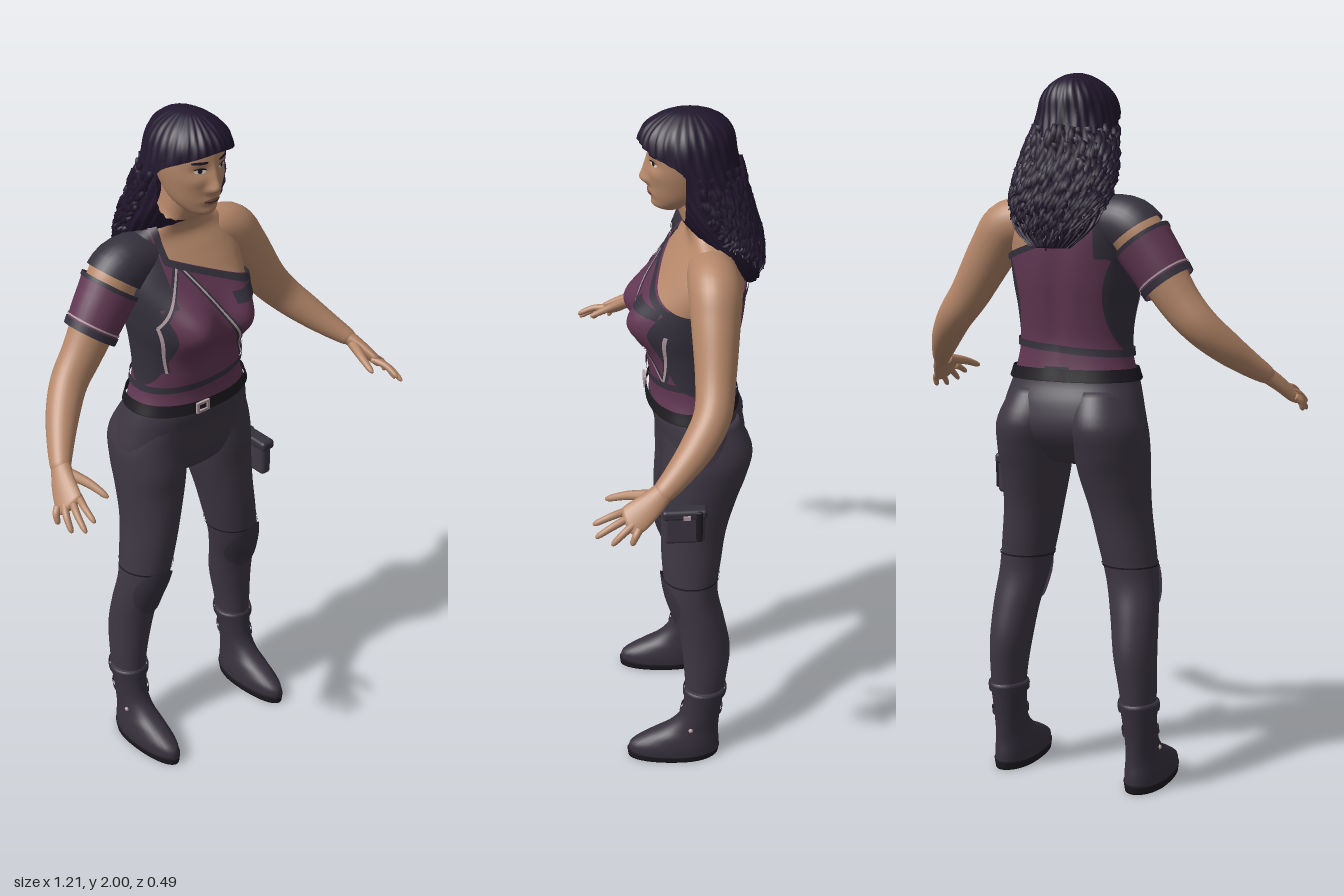
import * as THREE from 'three';
import { RoundedBoxGeometry } from 'three/addons/geometries/RoundedBoxGeometry.js';

const mat = (name, color, side = THREE.DoubleSide) => {
  const m = new THREE.MeshStandardMaterial({ color, side });
  m.name = name;
  return m;
};
const M = {
  skin: mat('skin', 0xb58769, THREE.FrontSide), hair: mat('dark violet hair', 0x21172d),
  plum: mat('plum cloth', 0x613753), panel: mat('slate panel', 0x35313d),
  pants: mat('charcoal trousers', 0x3e3743), boots: mat('boot leather', 0x37313d),
  sole: mat('near black', 0x1d1a20), light: mat('pale piping', 0xb39da3),
  white: mat('eye white', 0xd8d0cc), lips: mat('lips', 0x8d5a4c),
};

// Catmull-Rom through rows of numbers, t in 0..1
function spline(rows, t) {
  const f = t * (rows.length - 1), i = Math.min(Math.floor(f), rows.length - 2), u = f - i;
  const at = k => rows[Math.max(0, Math.min(rows.length - 1, k))];
  const [a, b, c, d] = [at(i - 1), at(i), at(i + 1), at(i + 2)];
  return b.map((v, k) => v + 0.5 * u * (c[k] - a[k] + u * (2 * a[k] - 5 * v + 4 * c[k] - d[k]
    + u * (3 * (v - c[k]) + d[k] - a[k]))));
}

// Closed tube of n sides and m steps from a point rule, capped; sx = -1 mirrors it
function surface(fn, n, m, sx = 1) {
  const pos = [], idx = [];
  const tri = (a, b, c) => (sx > 0 ? idx.push(a, b, c) : idx.push(a, c, b));
  const ends = [new THREE.Vector3(), new THREE.Vector3()];
  for (let j = 0; j <= m; j++) for (let i = 0; i < n; i++) {
    const p = fn((i / n) * Math.PI * 2, j / m);
    p.x *= sx;
    pos.push(p.x, p.y, p.z);
    if (j === 0) ends[0].addScaledVector(p, 1 / n);
    if (j === m) ends[1].addScaledVector(p, 1 / n);
    if (j < m) {
      const a = j * n + i, b = j * n + (i + 1) % n;
      tri(a, b, a + n); tri(b, b + n, a + n);
    }
  }
  const c0 = (m + 1) * n, c1 = c0 + 1;
  ends.forEach(e => pos.push(e.x, e.y, e.z));
  for (let i = 0; i < n; i++) {
    const k = (i + 1) % n;
    tri(c0, k, i); tri(c1, m * n + i, m * n + k);
  }
  const g = new THREE.BufferGeometry();
  g.setAttribute('position', new THREE.Float32BufferAttribute(pos, 3));
  g.setIndex(idx);
  g.computeVertexNormals();
  return g;
}

// Level rings, rows upward: [y, centre x, centre z, half width, front depth, back depth]
function loft(rows, { n = 48, m = 48, e = 2, k = 0, sx = 1, bump } = {}) {
  const pw = v => Math.sign(v) * Math.abs(v) ** (2 / e);
  return surface((th, t) => {
    const [y, cx, cz, rx, rf, rb] = spline(rows, t), a = th - k * Math.sin(th);
    const s = pw(Math.sin(a)), c = pw(Math.cos(a));
    const p = new THREE.Vector3(cx + rx * s, y, cz + (c > 0 ? rf : rb) * c);
    if (bump) bump(p, a);
    return p;
  }, n, m, sx);
}

// Tapered limb along stations [x, y, z, radius across, radius of thickness]
function limb(st, { n = 10, m = 12, sx = 1 } = {}) {
  const ref = new THREE.Vector3(1, 1, 0).normalize();
  return surface((th, t) => {
    const s = spline(st, t), a = spline(st, Math.max(0, t - 0.02)), b = spline(st, Math.min(1, t + 0.02));
    const T = new THREE.Vector3(b[0] - a[0], b[1] - a[1], b[2] - a[2]).normalize();
    const e1 = new THREE.Vector3().crossVectors(ref, T).normalize(), e2 = T.clone().cross(e1);
    const end = Math.sqrt(Math.min(1, 0.2 + (1 - t) * 6));
    return new THREE.Vector3(s[0], s[1], s[2]).addScaledVector(e1, Math.cos(th) * s[3] * end)
      .addScaledVector(e2, Math.sin(th) * (s[4] ?? s[3]) * end);
  }, n, m, sx);
}

// Offset copy of a surface, cut to where every rule f(x, y, z) is positive
function shell(geo, off, ...rules) {
  const P = geo.attributes.position, N = geo.attributes.normal, I = geo.index.array, pos = [], nor = [];
  const vert = i => {
    const n = [N.getX(i), N.getY(i), N.getZ(i)];
    return [P.getX(i) + n[0] * off, P.getY(i) + n[1] * off, P.getZ(i) + n[2] * off, ...n];
  };
  for (let i = 0; i < I.length; i += 3) {
    let poly = [vert(I[i]), vert(I[i + 1]), vert(I[i + 2])];
    for (const f of rules) {
      const out = [], d = poly.map(v => f(v[0], v[1], v[2]));
      poly.forEach((v, k) => {
        const q = (k + 1) % poly.length;
        if (d[k] >= 0) out.push(v);
        if ((d[k] >= 0) !== (d[q] >= 0)) out.push(v.map((c, h) => c + (poly[q][h] - c) * d[k] / (d[k] - d[q])));
      });
      poly = out;
      if (!poly.length) break;
    }
    for (let k = 1; k + 1 < poly.length; k++) for (const v of [poly[0], poly[k], poly[k + 1]]) {
      pos.push(v[0], v[1], v[2]); nor.push(v[3], v[4], v[5]);
    }
  }
  const g = new THREE.BufferGeometry();
  g.setAttribute('position', new THREE.Float32BufferAttribute(pos, 3));
  g.setAttribute('normal', new THREE.Float32BufferAttribute(nor, 3));
  return g;
}
const gauss = (x, y, sx, sy) => Math.exp(-(x * x) / (2 * sx * sx) - (y * y) / (2 * sy * sy));
const oval = (cx, cy, rx, ry) => (x, y) => 1 - ((Math.abs(x) - cx) / rx) ** 2 - ((y - cy) / ry) ** 2;
const front = (x, y, z) => z;
const band = (lo, hi) => [(x, y) => y - lo, (x, y) => hi - y];

export function createModel() {
  const root = new THREE.Group();
  root.name = 'standingWoman';
  const add = (name, geo, material, x = 0, y = 0, z = 0) => {
    const mesh = new THREE.Mesh(geo, material);
    mesh.name = name;
    mesh.position.set(x, y, z);
    root.add(mesh);
  };

  // Torso and neck
  const torso = loft([
    [1.16, 0, -.055, .182, .115, .115], [1.22, 0, -.055, .162, .11, .108], [1.28, 0, -.05, .156, .112, .112],
    [1.36, 0, -.05, .162, .116, .124], [1.43, 0, -.05, .174, .12, .135], [1.5, 0, -.055, .182, .115, .136],
    [1.56, 0, -.07, .184, .098, .122], [1.61, 0, -.085, .175, .078, .103], [1.65, 0, -.095, .155, .06, .083],
    [1.68, 0, -.09, .105, .055, .07], [1.71, 0, -.075, .066, .055, .062], [1.76, 0, -.06, .057, .055, .057],
    [1.8, 0, -.06, .056, .054, .056]], { n: 96, m: 88, e: 2.2, bump: (p, a) => {
    if (Math.cos(a) > 0) p.z += Math.min(1, Math.cos(a) * 3) * .06 *
      (gauss(p.x - .08, p.y - 1.43, .045, .048) + gauss(p.x + .08, p.y - 1.43, .045, .048));
    else p.z += .012 * gauss(p.x, p.y - 1.38, .02, .12);
  } });
  add('torso', torso, M.skin);

  // One-shoulder top with slate side panels
  const neck = (x, y, z) => Math.max((z > -.06 ? 1.575 - .42 * x : 1.56 - .3 * x) - y, -.095 - x);
  const dark = (x, y) => Math.max(Math.abs(x) - .128 - 2 * (y - 1.38) ** 2, Math.min(-.115 - x, y - 1.5));
  const lower = (x, y) => y - 1.19;
  add('topPlum', shell(torso, .007, neck, lower, (x, y) => -dark(x, y)), M.plum);
  add('topPanels', shell(torso, .007, neck, lower, dark), M.panel);
  add('necklineTrim', shell(torso, .012, neck, (x, y, z) => .018 - neck(x, y, z)), M.panel);
  const hem = (x, y) => y - 1.255 - .08 * x;
  add('hemTrim', shell(torso, .013, (x, y) => hem(x, y) + .01, (x, y) => .01 - hem(x, y)), M.panel);
  add('belt', shell(torso, .016, ...band(1.165, 1.2)), M.sole);
  add('chestPocketFlap', shell(torso, .012, front, (x, y) => y - 1.475 + .1 * (x - .1), (x, y) => 1.503 - y - .1 * (x - .1),
    x => x - .05, x => .15 - x), M.panel);
  const seams = [[-.075, 1.6, .127, 1.27], [-.08, 1.6, -.165, 1.45], [.127, 1.27, .165, 1.43],
    [-.165, 1.45, -.135, 1.3]];
  seams.forEach(([ax, ay, bx, by]) => {
    const L = Math.hypot(bx - ax, by - ay), ux = (bx - ax) / L, uy = (by - ay) / L;
    const d = (x, y) => (x - ax) * uy - (y - ay) * ux, s = (x, y) => (x - ax) * ux + (y - ay) * uy;
    const strip = (w, off) => shell(torso, off, (x, y, z) => z + .05, s, (x, y) => L - s(x, y),
      (x, y) => w + d(x, y), (x, y) => w - d(x, y));
    add('seamBacking', strip(.008, .009), M.panel);
    add('seamPiping', strip(.0028, .011), M.light);
  });
  const buckle = new THREE.Shape().moveTo(-.022, -.016).lineTo(.022, -.016).lineTo(.022, .016).lineTo(-.022, .016);
  buckle.holes.push(new THREE.Path().moveTo(-.014, -.009).lineTo(-.014, .009).lineTo(.014, .009).lineTo(.014, -.009));
  add('beltBuckle', new THREE.ExtrudeGeometry(buckle, { depth: .008, bevelEnabled: false }), M.light, -.045, 1.183, .07);

  // Arms and hands
  const along = (x, y) => (Math.abs(x) - .2) * .59 + (1.58 - y) * .81;
  for (const sx of [1, -1]) {
    const arm = limb([[.08, 1.6, -.09, .06, .06], [.185, 1.585, -.095, .07, .074], [.245, 1.515, -.092, .064, .07],
      [.325, 1.395, -.085, .053, .059], [.385, 1.325, -.072, .049, .052], [.44, 1.268, -.03, .045, .045],
      [.49, 1.218, .025, .036, .034], [.522, 1.188, .066, .029, .025], [.53, 1.178, .08, .029, .022]],
    { n: 32, m: 48, sx });
    add('arm', arm, M.skin);
    add('palm', limb([[.516, 1.194, .058, .026, .023], [.54, 1.165, .1, .035, .018], [.556, 1.138, .14, .041, .015],
      [.562, 1.128, .165, .036, .012]], { n: 20, m: 16, sx }), M.skin);
    const fingers = [[.534, 1.148, .155, .55, 1.12, .245], [.55, 1.139, .15, .575, 1.097, .24],
      [.567, 1.13, .14, .59, 1.082, .2], [.582, 1.122, .13, .597, 1.085, .15]];
    fingers.forEach(([a, b, c, x, y, z]) => add('finger', limb([[a, b, c, .0105],
      [(a + x) / 2 + .005, (b + y) / 2 + .006, (c + z) / 2, .0095], [x, y, z, .007]], { sx }), M.skin));
    add('thumb', limb([[.518, 1.178, .09, .016], [.495, 1.167, .15, .012], [.48, 1.148, .21, .008]], { sx }), M.skin);
    if (sx > 0) continue;
    // Shoulder strap and short sleeve on the right arm only
    add('shoulderStrap', shell(arm, .009, (x, y) => .012 - along(x, y), x => -.1 - x), M.panel);
    const cut = (lo, hi) => [(x, y) => along(x, y) - lo, (x, y) => hi - along(x, y)];
    add('sleeve', shell(arm, .011, ...cut(.037, .175)), M.plum);
    add('sleeveTopTrim', shell(arm, .014, ...cut(.034, .046)), M.panel);
    add('sleeveCuff', shell(arm, .015, ...cut(.158, .178)), M.panel);
    add('sleevePiping', shell(arm, .014, ...cut(.148, .153)), M.light);
  }

  // Trousers, kneepads and boots
  add('pelvis', loft([[.922, 0, -.06, .02, .02, .02], [.935, 0, -.06, .09, .06, .07], [.97, 0, -.065, .195, .095, .1],
    [1.03, 0, -.072, .22, .116, .13], [1.1, 0, -.065, .207, .118, .132], [1.16, 0, -.055, .189, .12, .121],
    [1.205, 0, -.055, .173, .115, .116]], { m: 28, e: 2.2 }), M.pants);
  for (const sx of [1, -1]) {
    const leg = loft([[.2, .212, -.075, .044, .05, .055], [.3, .209, -.08, .052, .06, .064],
      [.4, .2, -.078, .06, .066, .076], [.5, .19, -.063, .067, .066, .074], [.6, .174, -.045, .074, .078, .072],
      [.7, .156, -.045, .08, .088, .083], [.8, .139, -.05, .086, .094, .094], [.9, .126, -.06, .099, .1, .114],
      [.97, .122, -.068, .104, .11, .13], [1.05, .112, -.075, .107, .11, .139], [1.14, .095, -.062, .085, .1, .112]],
    { m: 44, sx });
    add('trouserLeg', leg, M.pants);
    add('kneePad', shell(leg, .008, oval(.178, .575, .068, .085), (x, y, z) => z + .04), M.boots);
    add('kneeSeam', shell(leg, .003, ...band(.645, .65)), M.sole);
    const boot = loft([[.02, .213, -.02, .054, .17, .105], [.05, .213, -.02, .054, .165, .105],
      [.08, .213, -.03, .05, .125, .092], [.11, .213, -.045, .045, .08, .078], [.15, .213, -.06, .044, .056, .066],
      [.2, .212, -.072, .047, .055, .06], [.265, .211, -.078, .054, .056, .064]], { n: 32, m: 28, sx });
    add('boot', boot, M.boots);
    add('bootCuff', shell(boot, .006, ...band(.238, .264)), M.boots);
    add('ankleBand', shell(boot, .005, ...band(.165, .185)), M.boots);
    add('bootSole', loft([[0, .213, -.02, .053, .172, .102], [.026, .213, -.02, .057, .175, .107]], { m: 3, sx }), M.sole);
    add('bootStud', new THREE.SphereGeometry(.007, 10, 8), M.light, sx * .256, .12, -.035);
  }

  // Cargo pocket on the left thigh
  add('cargoPocket', new RoundedBoxGeometry(.036, .105, .115, 3, .012), M.pants, .232, .87, -.015);
  add('pocketFlap', new RoundedBoxGeometry(.046, .03, .125, 3, .01), M.panel, .234, .917, -.015);
  add('pocketStrap', new RoundedBoxGeometry(.05, .1, .018, 2, .006), M.sole, .236, .88, -.055);
  add('pocketClasp', new THREE.BoxGeometry(.008, .012, .02), M.light, .258, .913, -.02);

  // Head with modelled face
  const head = loft([[1.729, 0, .005, .02, .025, .03], [1.742, 0, 0, .04, .047, .05], [1.77, 0, -.02, .061, .074, .07],
    [1.81, 0, -.03, .074, .09, .095], [1.86, 0, -.035, .083, .098, .11], [1.91, 0, -.035, .082, .094, .113],
    [1.95, 0, -.038, .066, .076, .098], [1.98, 0, -.04, .03, .035, .045]], { n: 96, m: 84, e: 2.1, k: .5, bump: (p, a) => {
    if (Math.cos(a) <= 0) return;
    const x = Math.abs(p.x), y = p.y;
    p.z += .02 * gauss(x, y - 1.817, .011, .014) + .011 * gauss(x, y - 1.848, .009, .02)
      + .007 * gauss(x - .014, y - 1.812, .007, .007) - .007 * gauss(x - .035, y - 1.864, .016, .011)
      + .007 * gauss(x, y - 1.778, .02, .009) + .006 * gauss(x, y - 1.745, .02, .01)
      + .004 * gauss(x - .048, y - 1.835, .018, .014);
  } });
  add('head', head, M.skin);
  add('eyes', shell(head, .0015, front, oval(.036, 1.865, .015, .0065)), M.white);
  add('irises', shell(head, .0025, front, oval(.036, 1.865, .006, .006)), M.sole);
  add('upperLashes', shell(head, .003, front, oval(.036, 1.866, .018, .009), (x, y) => y - 1.8695), M.sole);
  add('eyebrows', shell(head, .002, front, oval(.038, 1.888, .022, .0045)), M.hair);
  add('lips', shell(head, .0015, front, oval(0, 1.778, .026, .009)), M.lips);
  add('mouthLine', shell(head, .0025, front, x => .024 - Math.abs(x), ...band(1.777, 1.779)), M.sole);

  // Hair mass, open around the face
  const hairRows = [[1.53, 0, -.2, .06, .015, .03], [1.58, 0, -.185, .115, .05, .05], [1.64, 0, -.155, .14, .075, .075],
    [1.7, 0, -.125, .145, .1, .088], [1.76, 0, -.09, .137, .11, .105], [1.82, 0, -.065, .124, .12, .115],
    [1.88, 0, -.045, .113, .13, .122], [1.93, 0, -.04, .1, .125, .12], [1.965, 0, -.04, .075, .1, .1],
    [1.99, 0, -.04, .038, .055, .06], [1.999, 0, -.04, .01, .015, .015]];
  const hair = loft(hairRows, { n: 120, m: 50, bump: (p, a) => {
    const w = 1 + .018 * Math.sin(a * 30 + p.y * 30) + .01 * Math.sin(a * 13 - p.y * 45);
    p.x *= w; p.z = -.06 + (p.z + .06) * w;
  } });
  const edge = y => -.025 + .125 * THREE.MathUtils.smoothstep(y, 1.855, 1.935);
  add('hair', shell(hair, 0, (x, y, z) => edge(y) - z), M.hair);

  // Curly locks around the sides and back
  let seed = 7;
  const rnd = () => (seed = (seed * 16807) % 2147483647) / 2147483647;
  for (let i = 0; i < 96; i++) {
    const a = Math.PI * (.46 + 1.08 * (i + rnd()) / 96), back = -Math.cos(a), depth = back < 0 ? 4 : 5;
    const y0 = 1.86 - .12 * rnd(), y1 = 1.66 - .11 * Math.max(0, back) - .03 * rnd() + (Math.sin(a) > 0 ? .02 : 0);
    const ph = rnd() * 6.28, st = [];
    for (let k = 0; k < 12; k++) {
      const y = y0 + (y1 - y0) * k / 11, row = spline(hairRows, 0.1 * Math.max(0, (y - 1.53) / .059));
      const q = ph + k * 1.9, amp = .004 + .007 * k / 11;
      st.push([Math.max(row[3], .11) * Math.sin(a) + amp * Math.cos(q), y,
        row[2] - back * row[depth] + amp * Math.sin(q), .0105 - .0065 * k / 11]);
    }
    add('curlyLock', limb(st, { n: 4, m: 20 }), M.hair);
  }
  return root;
}
